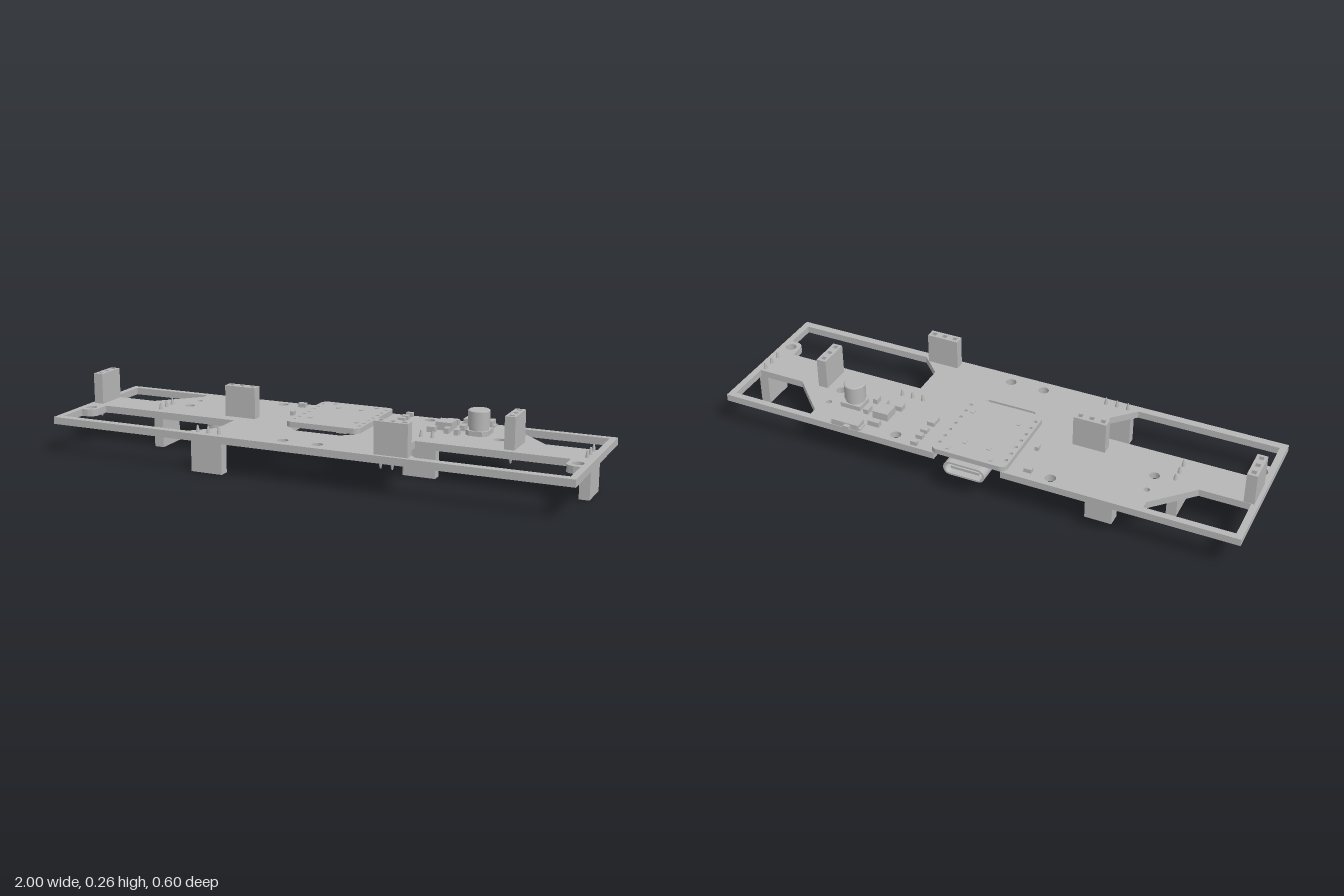
import * as THREE from 'three';

const grey = new THREE.MeshStandardMaterial({ color: 0xb6b6b6 });
grey.name = 'plain grey';

const MID = 0.1315;   // height of the middle of the board
const HALF = 0.0135;  // half the board thickness

function add(parent, geometry, name, x = 0, y = 0, z = 0) {
  const mesh = new THREE.Mesh(geometry, grey);
  mesh.name = name;
  mesh.position.set(x, y, z);
  parent.add(mesh);
  return mesh;
}

// box given by its centre on the board, footprint and height above the base
function chip(parent, name, x, z, w, d, h, base = HALF) {
  return add(parent, new THREE.BoxGeometry(w, h, d), name, x, base + h / 2, z);
}

const poly = pts => pts.map(p => new THREE.Vector2(p[0], p[1]));

function circle(x, z, r) {
  return new THREE.Path().absarc(x, z, r, 0, Math.PI * 2, true);
}

function square(x, z, s) {
  return new THREE.Path(poly([[x - s, z - s], [x - s, z + s], [x + s, z + s], [x + s, z - s]]));
}

// flat plate drawn in x and z, its upper face at y = 0
function plate(shape, thickness) {
  const g = new THREE.ExtrudeGeometry(shape, { depth: thickness, bevelEnabled: false, curveSegments: 12 });
  return g.rotateX(Math.PI / 2);
}

function roundedRect(x0, x1, z0, z1, r) {
  const s = new THREE.Shape();
  s.absarc(x1 - r, z1 - r, r, 0, Math.PI / 2);
  s.absarc(x0 + r, z1 - r, r, Math.PI / 2, Math.PI);
  s.absarc(x0 + r, z0 + r, r, Math.PI, Math.PI * 1.5);
  s.absarc(x1 - r, z0 + r, r, Math.PI * 1.5, Math.PI * 2);
  s.closePath();
  return s;
}

function makeBoard() {
  // outline with the slot for the controller open at the back
  const s = new THREE.Shape(poly([
    [-1, -0.275], [-0.13, -0.275], [-0.13, 0.07], [-0.09, 0.107], [0.09, 0.107],
    [0.13, 0.07], [0.13, -0.275], [1, -0.275], [1, 0.3], [-1, 0.3],
  ]));
  for (const m of [-1, 1]) {
    // rear corner window
    s.holes.push(new THREE.Path(poly([
      [0.975, -0.25], [0.65, -0.25], [0.65, -0.22], [0.79, -0.08], [0.975, -0.08],
    ].map(([x, z]) => [m * x, z]))));
    // front window with the screw tab
    s.holes.push(new THREE.Path(poly([
      [0.92, 0.067], [0.36, 0.067], [0.36, 0.19], [0.44, 0.27], [0.975, 0.27],
      [0.975, 0.15], [0.95, 0.15], [0.933, 0.144], [0.923, 0.133], [0.92, 0.12],
    ].map(([x, z]) => [m * x, z]))));
    // screw and peg holes
    for (const [x, z, r] of [
      [0.957, 0.11, 0.021], [0.303, -0.235, 0.02], [0.628, -0.155, 0.011],
      [0.625, -0.07, 0.019], [0.067, 0.25, 0.02],
    ]) s.holes.push(circle(m * x, z, r));
  }
  return plate(s, HALF * 2);
}

// three-way socket along local x, with pins through the board
function makeHeader(name, x, z, turned) {
  const g = new THREE.Group();
  g.name = name;
  const s = new THREE.Shape(poly([[-0.062, -0.019], [0.062, -0.019], [0.062, 0.019], [-0.062, 0.019]]));
  for (const i of [-1, 0, 1]) s.holes.push(square(i * 0.043, 0, 0.009));
  add(g, plate(s, 0.05), 'socketTop', 0, MID, 0);
  chip(g, 'socketBody', 0, 0, 0.124, 0.038, MID - 0.05 - HALF);
  for (const i of [-1, 0, 1]) {
    add(g, new THREE.CylinderGeometry(0.008, 0.003, 0.026, 10), 'pin', i * 0.043, -HALF - 0.012, 0);
  }
  g.position.set(x, 0, z);
  if (turned) g.rotation.y = Math.PI / 2;
  return g;
}

function makeCapacitor() {
  const g = new THREE.Group();
  g.name = 'capacitor';
  const base = new THREE.Shape(poly([
    [-0.041, -0.041], [0.041, -0.041], [0.041, 0.025], [0.025, 0.041], [-0.025, 0.041], [-0.041, 0.025],
  ]));
  add(g, plate(base, 0.018), 'capacitorBase', 0, HALF + 0.018, 0);
  add(g, new THREE.CylinderGeometry(0.036, 0.036, 0.014, 32), 'capacitorNeck', 0, HALF + 0.023, 0);
  add(g, new THREE.CylinderGeometry(0.04, 0.04, 0.058, 32), 'capacitorCan', 0, 0.0725, 0);
  add(g, new THREE.CylinderGeometry(0.036, 0.04, 0.003, 32), 'capacitorLid', 0, 0.103, 0);
  g.position.set(0.533, 0, -0.12);
  return g;
}

// parts that appear on both faces of the board
function makeSide(name) {
  const g = new THREE.Group();
  g.name = name;
  g.add(
    makeHeader('outerHeader', -0.966, -0.017, true),
    makeHeader('innerHeader', 0.698, -0.017, true),
    makeHeader('middleHeader', -0.358, 0, false),
    makeHeader('frontHeader', 0.356, 0.268, false),
    makeCapacitor(),
  );
  chip(g, 'regulator', 0.4, -0.145, 0.062, 0.062, 0.03);
  for (const [x, z, w, d] of [
    [0.403, -0.213, 0.045, 0.022], [0.367, -0.085, 0.03, 0.03],
    [0.425, -0.088, 0.018, 0.03], [0.465, -0.08, 0.018, 0.03],
    [0.465, -0.15, 0.02, 0.035],
  ]) chip(g, 'smallPart', x, z, w, d, 0.02);
  return g;
}

function makeController() {
  const g = new THREE.Group();
  g.name = 'controller';
  const s = roundedRect(-0.148, 0.145, -0.275, 0.07, 0.025);
  for (let i = 0; i < 7; i++) {
    for (const x of [-0.132, 0.128]) s.holes.push(circle(x, -0.23 + i * 0.0425, 0.007));
  }
  add(g, plate(s, 0.02), 'controllerBoard', 0, HALF + 0.02, 0);
  // contact pads on the upper face
  for (const [x, z] of [[-0.085, -0.25], [0.085, -0.25], [-0.05, -0.195], [0.045, -0.195], [-0.085, -0.015], [0.1, -0.015]]) {
    chip(g, 'contactPad', x, z, 0.014, 0.018, 0.003, HALF + 0.02);
  }
  // cable port hanging under the rear edge, hollow at the mouth
  const port = roundedRect(-0.08, 0.08, -0.027, 0.027, 0.026);
  const bar = new THREE.ExtrudeGeometry(port, { depth: 0.07, bevelEnabled: false });
  add(g, bar, 'portBody', 0, -HALF, -0.25);
  const rim = port.clone();
  rim.holes.push(new THREE.Path(roundedRect(-0.073, 0.073, -0.02, 0.02, 0.019).getPoints(8).reverse()));
  add(g, new THREE.ExtrudeGeometry(rim, { depth: 0.05, bevelEnabled: false }), 'portRim', 0, -HALF, -0.3);
  add(g, new THREE.BoxGeometry(0.11, 0.01, 0.04), 'portTongue', 0, -HALF, -0.27);
  // small parts on the underside
  for (const [x, z, w, d] of [[0.0, -0.08, 0.1, 0.1], [-0.09, -0.15, 0.03, 0.03], [0.09, -0.15, 0.03, 0.03], [0.06, 0.02, 0.04, 0.02]]) {
    chip(g, 'undersidePart', x, z, w, d, 0.014, HALF - 0.014);
  }
  return g;
}

export function createModel() {
  const model = new THREE.Group();
  model.name = 'circuitBoard';
  const body = new THREE.Group();
  body.name = 'assembly';
  body.position.y = MID;
  model.add(body);

  add(body, makeBoard(), 'mainBoard', 0, HALF, 0);
  body.add(makeController());

  // the lower face repeats the upper one, turned over
  const lower = makeSide('lowerParts');
  lower.rotation.z = Math.PI;
  body.add(makeSide('upperParts'), lower);

  // slide switch on the upper rear edge
  chip(body, 'switchBody', 0.493, -0.25, 0.11, 0.046, 0.022);
  chip(body, 'switchLever', 0.48, -0.279, 0.022, 0.018, 0.014, HALF + 0.004);
  for (const x of [0.437, 0.55]) chip(body, 'switchFoot', x, -0.25, 0.012, 0.036, 0.006);

  // cable connector under the rear edge
  chip(body, 'cableConnector', -0.495, -0.24, 0.1, 0.05, 0.073, -HALF - 0.073);

  // loose small parts beside the controller
  for (const [x, z, w, d] of [
    [0.216, -0.258, 0.026, 0.015], [0.216, -0.212, 0.026, 0.022], [0.216, -0.175, 0.026, 0.022],
    [0.214, -0.112, 0.03, 0.045], [-0.218, -0.23, 0.03, 0.022], [-0.196, -0.1, 0.014, 0.022],
  ]) chip(body, 'smallPart', x, z, w, d, 0.016);

  return model;
}
